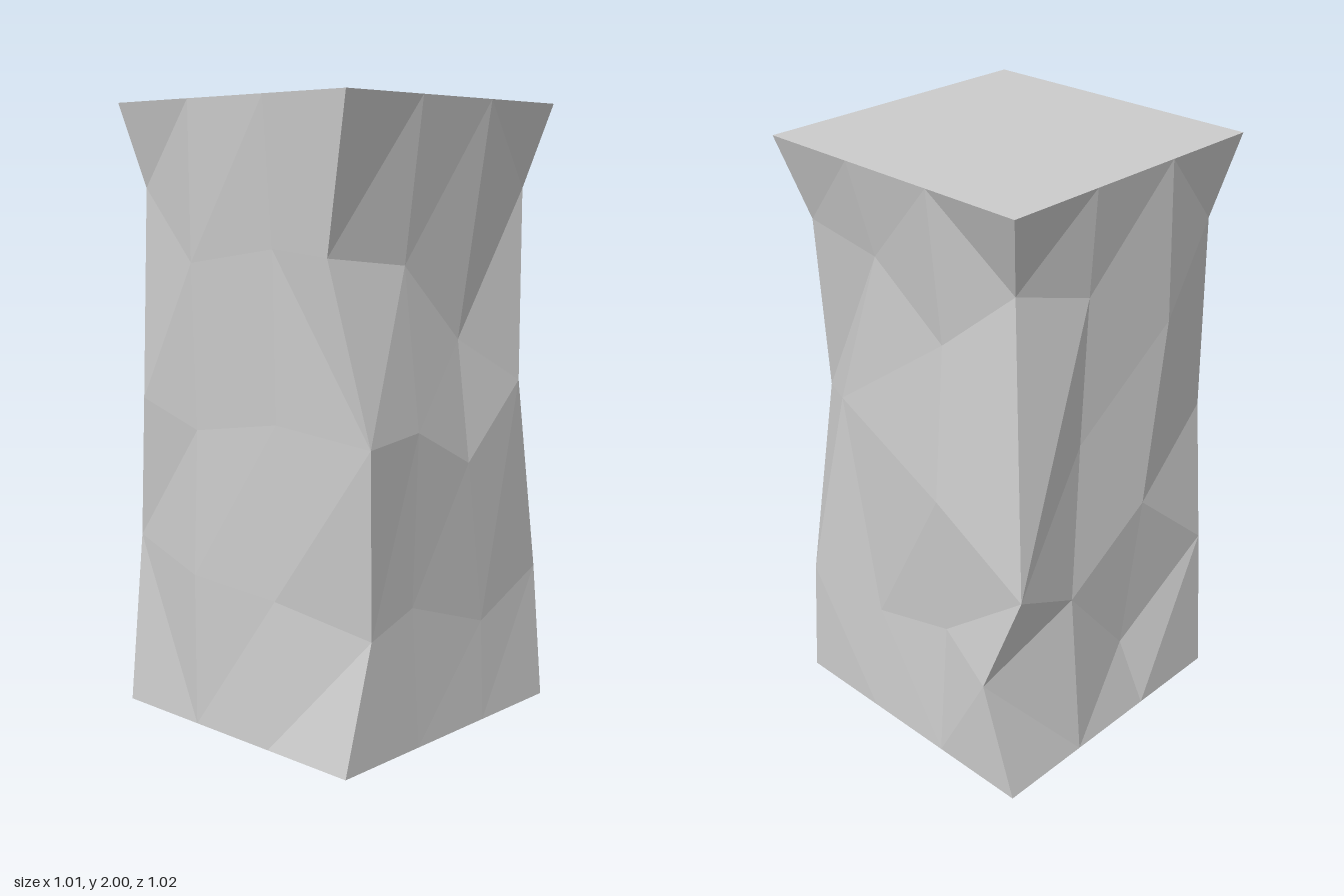
import * as THREE from 'three';

// Rough-hewn stone block: 12 vertical columns of points around a square,
// each with three chipped points between a flat top and a flat base.
const MIN = -0.505, MAX = 0.49, A = -0.17, B = 0.16;

// Each column: [x, z] at top and base, then chipped points [x, y, z] downwards.
const SIDES = {
  front: {
    columns: [
      [[MIN, MAX], [-0.47, 1.53, 0.385], [-0.42, 0.98, 0.51], [-0.38, 0.39, 0.48]],
      [[A, MAX], [-0.18, 1.5, 0.43], [-0.18, 1.0, 0.49], [-0.18, 0.45, 0.47]],
      [[B, MAX], [0.08, 1.26, 0.43], [0.08, 0.87, 0.48], [0.17, 0.33, 0.47]],
    ],
    diagonals: ['//\\', '//\\', '///', '\\//'],
  },
  right: {
    columns: [
      [[MAX, MAX], [0.41, 1.73, 0.43], [0.34, 1.11, 0.48], [0.49, 0.45, 0.45]],
      [[MAX, B], [0.43, 1.7, 0.12], [0.45, 1.17, 0.29], [0.47, 0.42, 0.13]],
      [[MAX, A], [0.44, 1.51, -0.17], [0.49, 1.0, -0.18], [0.46, 0.5, -0.18]],
    ],
    diagonals: ['//\\', '//\\', '///', '\\\\/'],
  },
  back: {
    columns: [
      [[MAX, MIN], [0.385, 1.72, -0.41], [0.46, 0.77, -0.51], [0.505, 0.41, -0.39]],
      [[B, MIN], [0.13, 1.65, -0.46], [0.14, 1.16, -0.45], [0.175, 0.61, -0.465]],
      [[A, MIN], [-0.2, 1.48, -0.5], [-0.12, 0.86, -0.5], [-0.115, 0.265, -0.44]],
    ],
    diagonals: ['//\\', '//\\', '\\/\\', '\\//'],
  },
  left: {
    columns: [
      [[MIN, MIN], [-0.445, 1.73, -0.445], [-0.49, 1.05, -0.425], [-0.45, 0.57, -0.5]],
      [[MIN, A], [-0.5, 1.5, -0.17], [-0.485, 0.97, -0.17], [-0.505, 0.5, -0.17]],
      [[MIN, B], [-0.47, 1.55, 0.16], [-0.46, 1.02, 0.16], [-0.47, 0.47, 0.16]],
    ],
    diagonals: ['//\\', '//\\', '///', '\\//'],
  },
};

function createBlockGeometry() {
  const sides = Object.values(SIDES);
  const columns = sides.flatMap((s) => s.columns).map(([[x, z], ...chips]) =>
    [[x, 2, z], ...chips, [x, 0, z]]);
  const positions = [];
  const tri = (a, b, c) => positions.push(...a, ...b, ...c);

  // Chipped walls: every cell is split along its own diagonal
  columns.forEach((col, i) => {
    const next = columns[(i + 1) % columns.length];
    for (let row = 0; row < 4; row++) {
      const tl = col[row], bl = col[row + 1], tr = next[row], br = next[row + 1];
      if (sides[Math.floor(i / 3)].diagonals[row][i % 3] === '/') {
        tri(tl, bl, tr);
        tri(bl, br, tr);
      } else {
        tri(tl, bl, br);
        tri(tl, br, tr);
      }
    }
  });

  // Flat top and base
  const mid = (MIN + MAX) / 2;
  columns.forEach((col, i) => {
    const next = columns[(i + 1) % columns.length];
    tri([mid, 2, mid], col[0], next[0]);
    tri([mid, 0, mid], next[4], col[4]);
  });

  const geometry = new THREE.BufferGeometry();
  geometry.setAttribute('position', new THREE.Float32BufferAttribute(positions, 3));
  geometry.computeVertexNormals();
  return geometry;
}

export function createModel() {
  const model = new THREE.Group();
  model.name = 'stonePillar';
  const material = new THREE.MeshStandardMaterial({ color: 0xcccccc, flatShading: true });
  const block = new THREE.Mesh(createBlockGeometry(), material);
  block.name = 'stoneBlock';
  model.add(block);
  return model;
}
